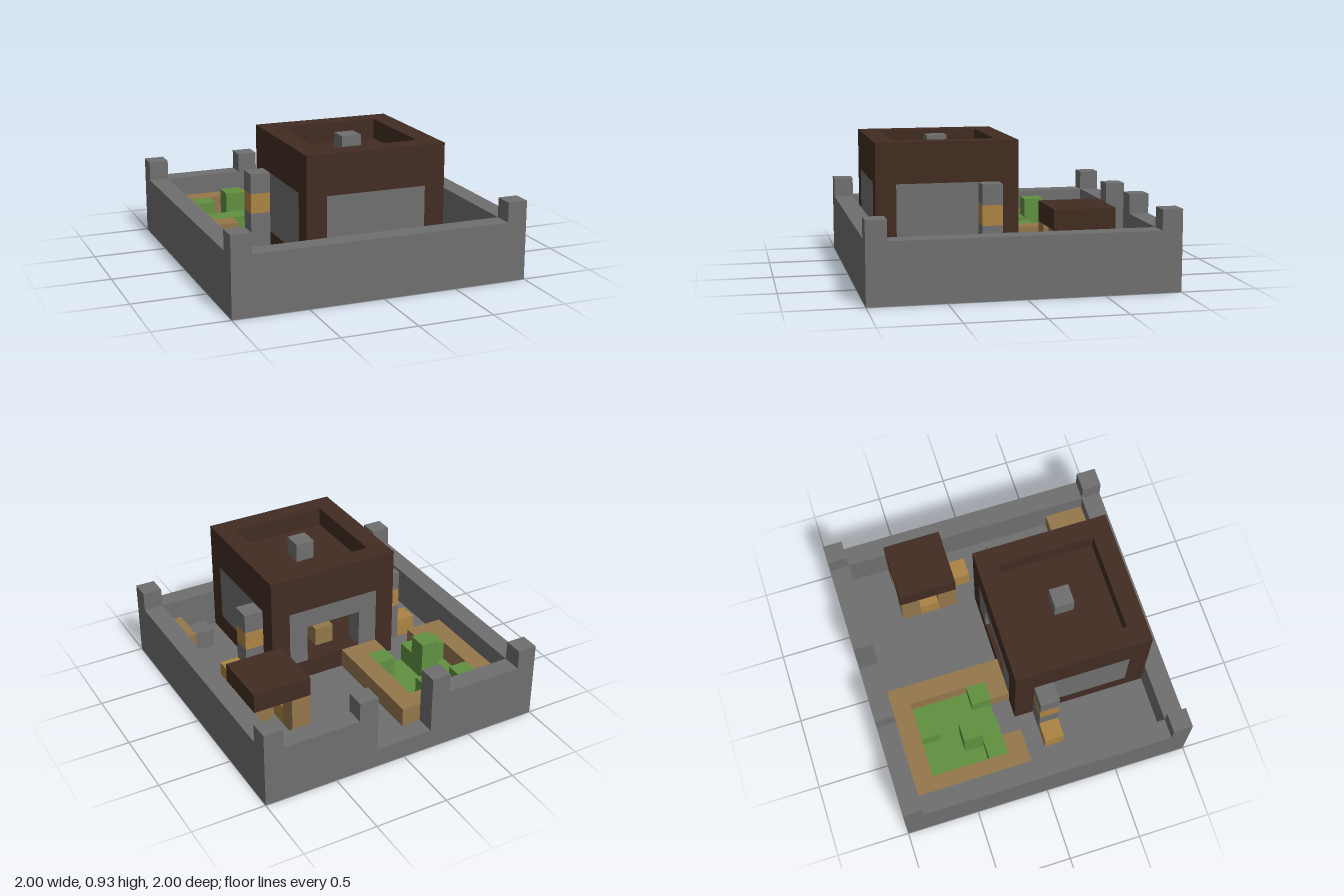
import * as THREE from 'three';

const U = 2 / 15; // the model sits on a 15 x 15 grid of cubes

export function createModel() {
  const model = new THREE.Group();
  model.name = 'courtyard';
  const mat = (name, color) => {
    const m = new THREE.MeshStandardMaterial({ color });
    m.name = name;
    return m;
  };
  const stone = mat('stone', 0x6f6f6f);
  const darkWood = mat('darkWood', 0x422c22);
  const timber = mat('timber', 0x94774c);
  const straw = mat('straw', 0xac8443);
  const grass = mat('grass', 0x619141);

  let parent = model;
  const group = (name) => {
    parent = new THREE.Group();
    parent.name = name;
    model.add(parent);
  };
  // Box from grid corner (x, y, z) with a size in cells
  const block = (name, m, x, y, z, w = 1, h = 1, d = 1) => {
    const mesh = new THREE.Mesh(new THREE.BoxGeometry(w * U, h * U, d * U), m);
    mesh.position.set((x + w / 2 - 7.5) * U, (y + h / 2) * U, (z + d / 2 - 7.5) * U);
    mesh.name = name;
    parent.add(mesh);
  };

  // Ground slab, leaving an opening for the lawn
  group('ground');
  block('groundBack', stone, 0, 0, 0, 15, 1, 2);
  block('groundFront', stone, 0, 0, 6, 15, 1, 9);
  block('groundRight', stone, 0, 0, 2, 2, 1, 4);
  block('groundLeft', stone, 6, 0, 2, 9, 1, 4);

  // Outer walls with a gateway in the back
  group('outerWall');
  block('frontWall', stone, 0, 1, 14, 15, 2, 1);
  for (const x of [0, 14]) block('sideWall', stone, x, 1, 1, 1, 2, 13);
  for (const x of [0, 9]) block('backWall', stone, x, 1, 0, 6, 2, 1);
  for (const [x, z] of [[0, 0], [14, 0], [0, 14], [14, 14], [5, 0], [9, 0]]) {
    block('wallPost', stone, x, 3, z);
  }

  // Garden with a low fence, open towards the house
  group('garden');
  block('lawn', grass, 2, 0, 2, 4, 1, 4);
  block('fenceBack', timber, 1, 1, 1, 6, 1, 1);
  block('fenceRight', timber, 1, 1, 2, 1, 1, 4);
  block('fenceLeft', timber, 6, 1, 2, 1, 1, 4);
  for (const x of [1, 5]) block('fenceFront', timber, x, 1, 6, 2, 1, 1);
  for (const [x, z, h] of [[2, 2, 1], [4, 2, 1], [3, 4, 2], [2, 5, 1], [3, 5, 1], [5, 5, 1]]) {
    block('plant', grass, x, 1, z, 1, h, 1);
  }

  // House: base, corner posts, stone panels, roof with a raised rim
  group('house');
  block('houseBase', darkWood, 4, 1, 7, 7, 1, 7);
  for (const x of [4, 10]) {
    for (const z of [7, 13]) block('cornerPost', darkWood, x, 2, z, 1, 3, 1);
    block('sidePanel', stone, x, 2, 8, 1, 3, 5);
  }
  block('frontPanel', stone, 5, 2, 13, 5, 3, 1);
  for (const x of [5, 9]) block('doorJamb', stone, x, 2, 7, 1, 3, 1);
  block('doorLintel', stone, 6, 4, 7, 3, 1, 1);
  block('roof', darkWood, 4, 5, 7, 7, 1, 7);
  for (const z of [7, 13]) block('roofRim', darkWood, 4, 6, z, 7, 1, 1);
  for (const x of [4, 10]) block('roofRimSide', darkWood, x, 6, 8, 1, 1, 5);
  block('chimney', stone, 7, 6, 10);
  block('table', timber, 7, 2, 8);
  block('stool', straw, 9, 2, 9);

  // Banded pillars beside the house, each with a crate
  group('pillars');
  for (const [x, crateX] of [[3, 2], [11, 12]]) {
    block('pillarShaft', stone, x, 1, 8, 1, 2, 1);
    block('pillarBand', straw, x, 3, 8);
    block('pillarCap', stone, x, 4, 8);
    block('crate', straw, crateX, 1, 8);
  }

  // Market stall
  group('stall');
  block('stallRoof', darkWood, 11, 3, 3, 3, 1, 3);
  for (const x of [11, 13]) {
    for (const z of [3, 5]) block('stallPost', timber, x, 1, z, 1, 2, 1);
  }
  block('counter', straw, 11, 1, 4);
  block('counter', straw, 12, 1, 5);
  block('crate', straw, 12, 1, 6);

  // Bench in the front corner
  group('bench');
  block('benchSeat', timber, 13, 1, 12, 1, 1, 2);
  block('benchBlock', stone, 12, 1, 12);

  return model;
}
